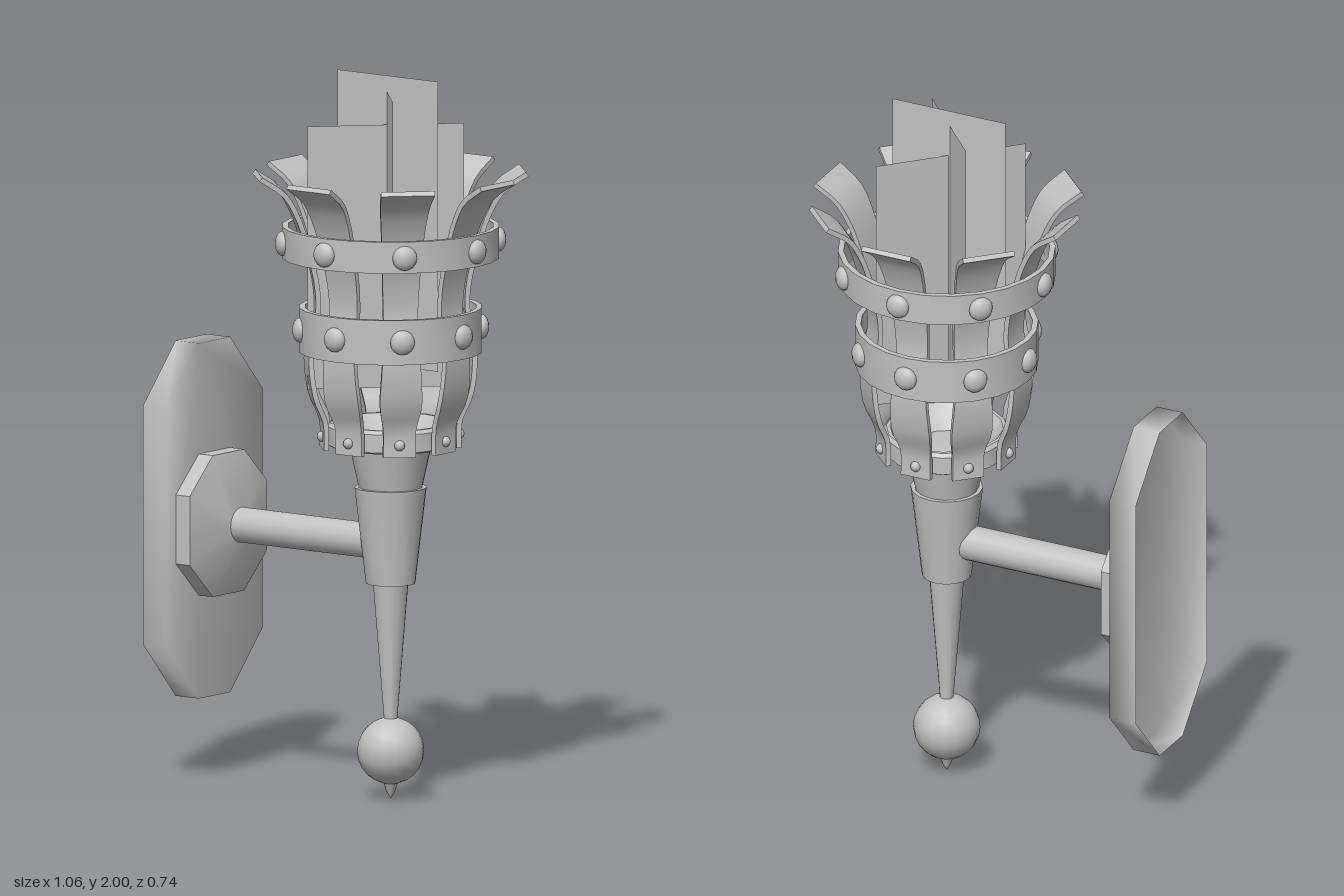
import * as THREE from 'three';
import { toCreasedNormals } from 'three/addons/utils/BufferGeometryUtils.js';

const AXIS_X = 0.155; // vertical axis of the torch
const ARM_Y = 0.71; // height of the wall arm

export function createModel() {
  const iron = new THREE.MeshStandardMaterial({ color: 0xc2c2c2, side: THREE.DoubleSide });
  iron.name = 'grey iron';

  const model = new THREE.Group();
  model.name = 'wallTorch';
  const torch = new THREE.Group();
  torch.name = 'torch';
  torch.position.x = AXIS_X;
  model.add(torch);

  function add(parent, name, geometry, x = 0, y = 0, z = 0) {
    const mesh = new THREE.Mesh(geometry, iron);
    mesh.name = name;
    mesh.position.set(x, y, z);
    parent.add(mesh);
    return mesh;
  }

  // Skin over equal-length loops of [x, y, z] points, with optional end caps
  function loft(loops, capStart, capEnd) {
    const n = loops[0].length;
    const index = [];
    for (let i = 0; i < loops.length - 1; i++) {
      for (let j = 0; j < n; j++) {
        const k = (j + 1) % n;
        const a = i * n + j, b = i * n + k, c = b + n, d = a + n;
        index.push(a, b, c, a, c, d);
      }
    }
    const last = (loops.length - 1) * n;
    for (let j = 1; j < n - 1; j++) {
      if (capStart) index.push(0, j + 1, j);
      if (capEnd) index.push(last, last + j, last + j + 1);
    }
    const geometry = new THREE.BufferGeometry();
    geometry.setAttribute('position', new THREE.Float32BufferAttribute(loops.flat(2), 3));
    geometry.setIndex(index);
    geometry.computeVertexNormals();
    return geometry;
  }

  function lathe(points, sides = 16) {
    const profile = points.map(([r, y]) => new THREE.Vector2(r, y));
    return toCreasedNormals(new THREE.LatheGeometry(profile, sides), 0.6);
  }

  // Long octagon facing +x: half height h, half depth d, cut corners
  function octagon(x, y, h, d, cutY, cutZ) {
    return [
      [h, cutZ], [cutY, d], [-cutY, d], [-h, cutZ],
      [-h, -cutZ], [-cutY, -d], [cutY, -d], [h, -cutZ],
    ].map(([dy, z]) => [x, y + dy, z]);
  }

  // Wall plate, hollow at the back, with a softly shaded rim
  add(model, 'wallPlate', loft([
    octagon(-0.53, 0.72, 0.49, 0.215, 0.33, 0.07),
    octagon(-0.45, 0.72, 0.49, 0.215, 0.33, 0.07),
  ], false, true));

  // Tapered flange and round arm
  add(model, 'flange', toCreasedNormals(loft([
    octagon(-0.45, ARM_Y, 0.195, 0.173, 0.095, 0.07),
    octagon(-0.402, ARM_Y, 0.195, 0.173, 0.095, 0.07),
    octagon(-0.357, ARM_Y, 0.052, 0.05, 0.022, 0.022),
  ], false, true), 0.75));
  const arm = add(model, 'arm', new THREE.CylinderGeometry(0.049, 0.049, 0.5, 16, 1, true), -0.11, ARM_Y, 0);
  arm.rotation.z = Math.PI / 2;

  // Finial, ball, stem and sleeve
  add(torch, 'finialTip', lathe([[0, 0.005], [0.012, 0.025], [0.02, 0.05], [0.03, 0.06]], 12));
  add(torch, 'finialBall', new THREE.SphereGeometry(0.092, 16, 12), 0, 0.138, 0);
  add(torch, 'lowerStem', lathe([[0.017, 0.21], [0.05, 0.62]]));
  add(torch, 'sleeve', lathe([[0.045, 0.6], [0.068, 0.6], [0.099, 0.865], [0.085, 0.865]]));
  add(torch, 'upperStem', lathe([[0.082, 0.84], [0.112, 0.975]]));

  // Shallow cup under the basket
  add(torch, 'cup', lathe([
    [0.1, 0.97], [0.165, 0.98], [0.174, 0.985], [0.174, 1.035], [0.165, 1.045],
    [0.155, 1.045], [0.1, 0.985], [0, 0.995],
  ]));

  // One strap: x = radius, y = height, z = width along the profile
  const strapCurve = new THREE.CatmullRomCurve3([
    [0.182, 0.975, 0.09], [0.184, 1.05, 0.09], [0.212, 1.12, 0.115], [0.224, 1.2, 0.11],
    [0.222, 1.27, 0.1], [0.205, 1.36, 0.095], [0.21, 1.44, 0.1], [0.235, 1.54, 0.11],
    [0.262, 1.62, 0.122], [0.3, 1.685, 0.136], [0.366, 1.731, 0.148],
  ].map((p) => new THREE.Vector3(...p)));
  const strapLoops = [];
  const strapSteps = 28;
  for (let i = 0; i <= strapSteps; i++) {
    const p = strapCurve.getPoint(i / strapSteps);
    const t = strapCurve.getTangent(i / strapSteps);
    const length = Math.hypot(t.x, t.y);
    const nr = (t.y / length) * 0.007, ny = (-t.x / length) * 0.007;
    const w = p.z / 2;
    strapLoops.push([
      [w, p.y + ny, p.x + nr], [w, p.y - ny, p.x - nr],
      [-w, p.y - ny, p.x - nr], [-w, p.y + ny, p.x + nr],
    ]);
  }
  const strapGeometry = toCreasedNormals(loft(strapLoops, true, true), 0.6);

  // Two hoops around the basket
  const hoops = [
    { name: 'lowerHoop', r: 0.25, y0: 1.24, y1: 1.363, rivetY: 1.302 },
    { name: 'upperHoop', r: 0.297, y0: 1.5, y1: 1.587, rivetY: 1.542 },
  ];
  for (const { name, r, y0, y1 } of hoops) {
    add(torch, name, lathe([[r - 0.016, y0], [r, y0], [r, y1], [r - 0.016, y1], [r - 0.016, y0]], 24));
  }

  // Eight straps, each with its rivets
  const rivetGeometry = new THREE.SphereGeometry(0.034, 12, 8);
  const boltGeometry = new THREE.SphereGeometry(0.015, 10, 6);
  for (let i = 0; i < 8; i++) {
    const rib = new THREE.Group();
    rib.name = 'basketRib';
    rib.rotation.y = (i * Math.PI) / 4;
    torch.add(rib);
    add(rib, 'strap', strapGeometry);
    for (const { r, rivetY } of hoops) {
      add(rib, 'rivet', rivetGeometry, 0, rivetY, r).scale.z = 0.6;
    }
    add(rib, 'bolt', boltGeometry, 0, 1.008, 0.188);
  }

  // Three upright flame sheets crossing near the axis: [x0, z0, x1, z1, bottom, top]
  const sheets = [
    [-0.02, 0.01, 0.325, 0.01, 1.2, 2.0],
    [0.04, -0.11, 0.27, 0.14, 1.23, 1.955],
    [0.0, 0.17, 0.3, -0.14, 1.14, 1.865],
  ];
  for (const [x0, z0, x1, z1, y0, y1] of sheets) {
    const sheet = add(model, 'flameSheet',
      new THREE.PlaneGeometry(Math.hypot(x1 - x0, z1 - z0), y1 - y0),
      (x0 + x1) / 2, (y0 + y1) / 2, (z0 + z1) / 2);
    sheet.rotation.y = -Math.atan2(z1 - z0, x1 - x0);
  }

  return model;
}
